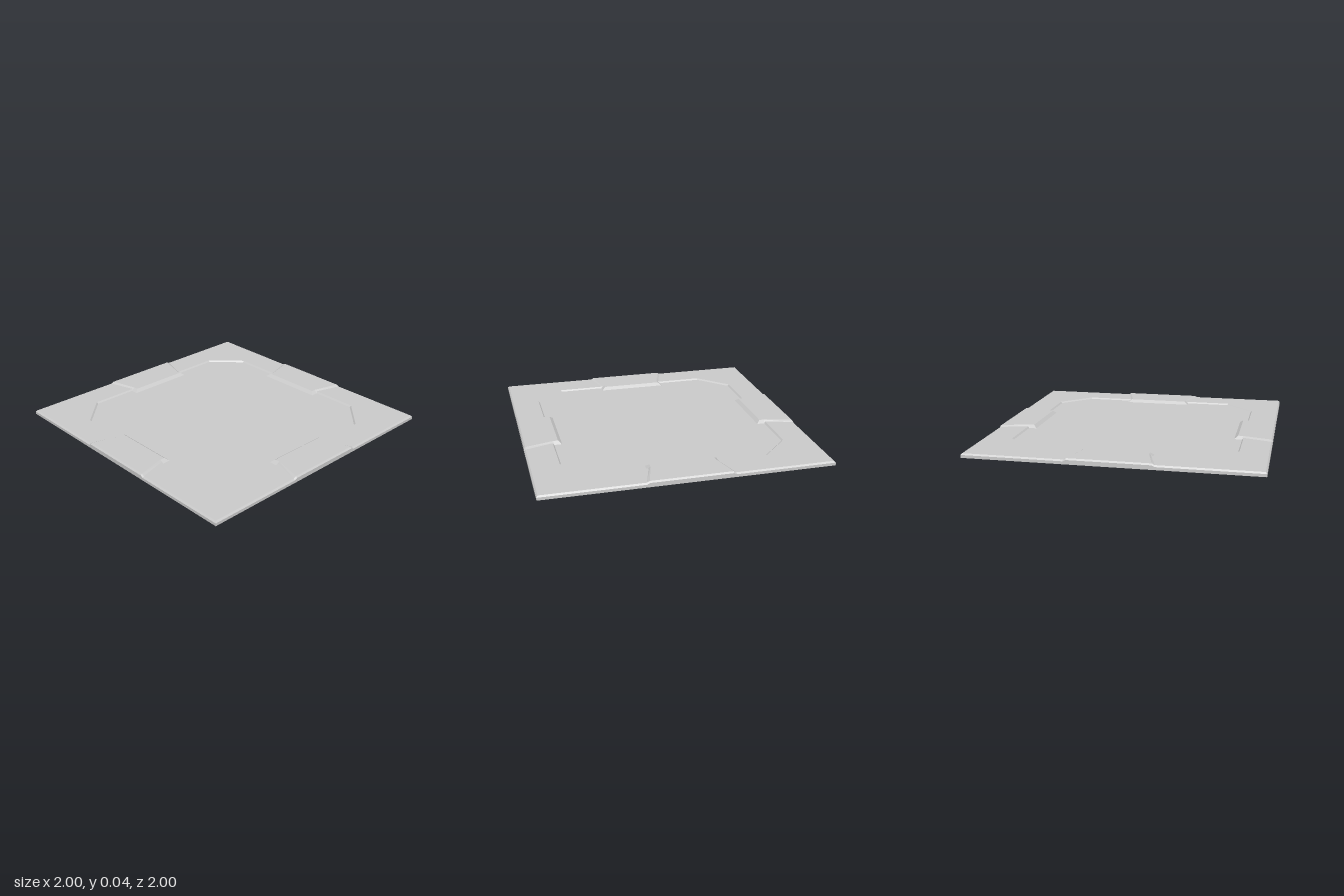
import * as THREE from 'three';

const material = new THREE.MeshStandardMaterial({ color: 0xcccccc, flatShading: true, side: THREE.DoubleSide });

// Heights of the three levels
const FLOOR = 0.02, RIM = 0.03, PAD = 0.04;

function addMesh(parent, name, geometry) {
  const mesh = new THREE.Mesh(geometry, material);
  mesh.name = name;
  parent.add(mesh);
}

// Horizontal panel from an [x, z] outline
function panel(outline, y) {
  const shape = new THREE.Shape(outline.map(([x, z]) => new THREE.Vector2(x, -z)));
  return new THREE.ShapeGeometry(shape).rotateX(-Math.PI / 2).translate(0, y, 0);
}

// Faces between an upper and a lower polyline, running rightward as seen from outside
function strip(upper, lower) {
  const positions = [];
  for (let i = 0; i < upper.length - 1; i++) {
    const [a, b, c, d] = [upper[i], lower[i], lower[i + 1], upper[i + 1]];
    positions.push(...a, ...b, ...c, ...a, ...c, ...d);
  }
  const geometry = new THREE.BufferGeometry();
  geometry.setAttribute('position', new THREE.Float32BufferAttribute(positions, 3));
  geometry.computeVertexNormals();
  return geometry;
}

// Completes a line that is symmetric in x
const mirrored = (half) => [...half, ...half.map(([x, ...rest]) => [-x, ...rest]).reverse()];
const atHeight = (points, y) => points.map(([x, z]) => [x, y, z]);

export function createModel() {
  const model = new THREE.Group();
  model.name = 'floorTile';

  // Recessed floor: octagon notched around the four pads
  const floorSide = [[-0.58, 0.785], [-0.25, 0.785], [-0.25, 0.73], [0.25, 0.73], [0.25, 0.785], [0.58, 0.785]];
  const floorOutline = [];
  for (let i = 0; i < 4; i++) {
    const c = Math.round(Math.cos(i * Math.PI / 2)), s = Math.round(Math.sin(i * Math.PI / 2));
    for (const [x, z] of floorSide) floorOutline.push([x * c + z * s, z * c - x * s]);
  }
  addMesh(model, 'recessedFloor', panel(floorOutline, FLOOR));

  // One side of the tile with the corner to its left, repeated four times
  for (let i = 0; i < 4; i++) {
    const side = new THREE.Group();
    side.name = `side${i + 1}`;
    side.rotation.y = i * Math.PI / 2;
    model.add(side);

    // Raised pad with sloping flanks
    addMesh(side, 'padTop', panel(mirrored([[0.28, 0.99], [0.225, 0.79], [0.225, 0.755]]), PAD));
    addMesh(side, 'padSlopes', strip(
      mirrored([[0.28, PAD, 0.99], [0.225, PAD, 0.79], [0.225, PAD, 0.79], [0.225, PAD, 0.755]]),
      mirrored([[0.3, RIM, 0.99], [0.24, RIM, 0.795], [0.25, FLOOR, 0.785], [0.25, FLOOR, 0.73]])));

    // Corner plate of the rim and its bevel down to the floor
    const lip = [[0.795, 0.24], [0.795, 0.585], [0.585, 0.795], [0.24, 0.795]];
    const foot = [[0.785, 0.25], [0.785, 0.58], [0.58, 0.785], [0.25, 0.785]];
    addMesh(side, 'rimCorner', panel([...lip, [0.3, 0.99], [0.99, 0.99], [0.99, 0.3]], RIM));
    addMesh(side, 'rimBevel', strip(atHeight(lip, RIM), atHeight(foot, FLOOR)));

    // Chamfered outer edge and wall; the underside is open
    const edge = mirrored([[-0.99, RIM, 0.99], [-0.3, RIM, 0.99], [-0.28, PAD, 0.99]]);
    const wallTop = mirrored([[-1, RIM - 0.01, 1], [-0.3, RIM - 0.01, 1], [-0.28, PAD - 0.01, 1]]);
    addMesh(side, 'edgeChamfer', strip(edge, wallTop));
    addMesh(side, 'outerWall', strip(wallTop, wallTop.map(([x, , z]) => [x, 0, z])));
  }
  return model;
}
